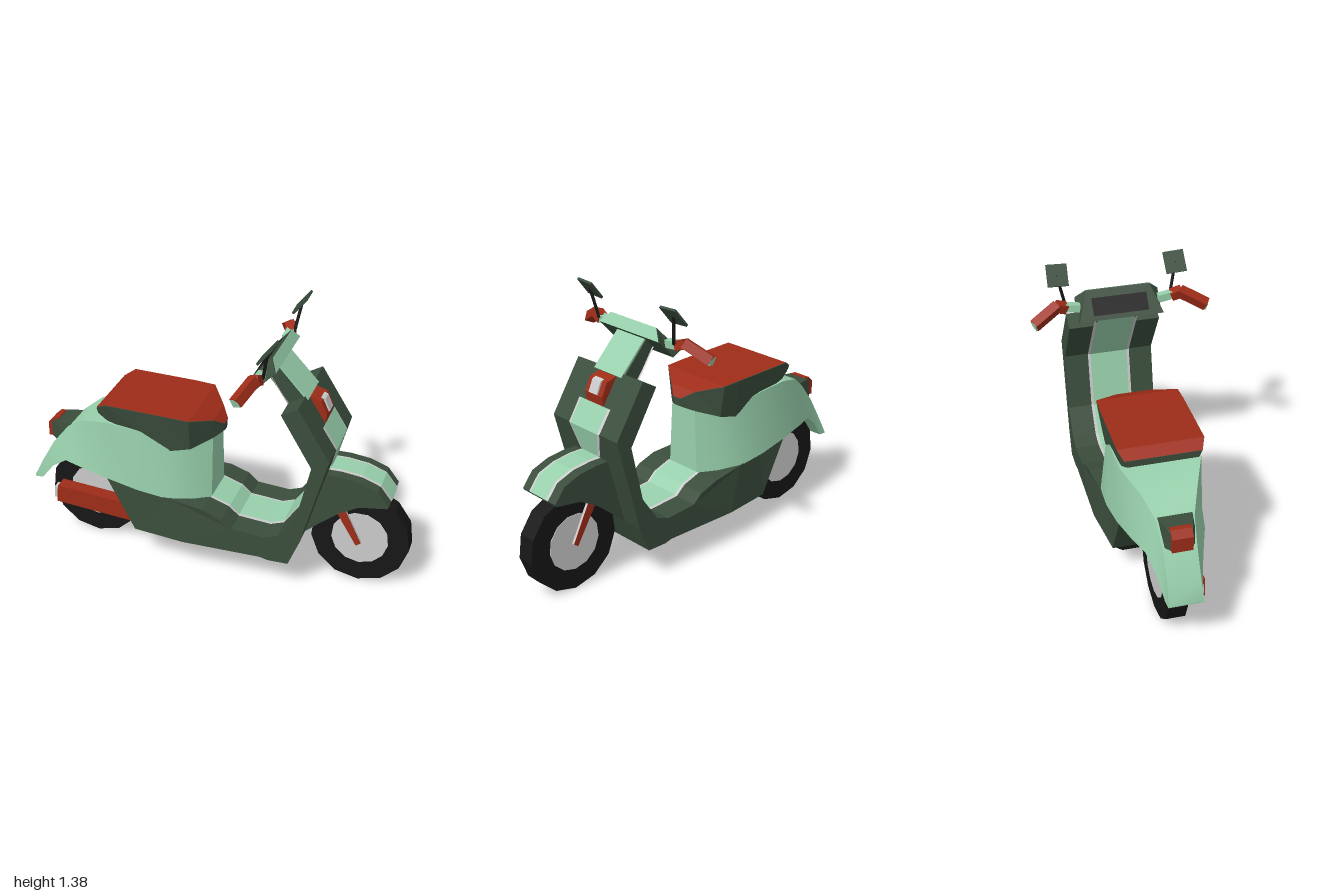
import * as THREE from 'three';
import { toCreasedNormals } from 'three/addons/utils/BufferGeometryUtils.js';

const mat = (color) => new THREE.MeshStandardMaterial({ color, flatShading: true, side: THREE.DoubleSide });

export function createModel() {
  const model = new THREE.Group();
  const dark = mat(0x3a4d3c), light = mat(0x98d0ac), red = mat(0x9e2c18);
  const black = mat(0x161616), grey = mat(0xcccccc);
  const smoothLight = light.clone();
  smoothLight.flatShading = false;

  const add = (name, geometry, material) => {
    const mesh = new THREE.Mesh(geometry, material);
    mesh.name = name;
    model.add(mesh);
    return mesh;
  };

  // side profile [x, y] extruded between z0 and z1
  const slab = (pts, z0, z1) => {
    const shape = new THREE.Shape(pts.map(([x, y]) => new THREE.Vector2(x, y)));
    return new THREE.ExtrudeGeometry(shape, { depth: z1 - z0, bevelEnabled: false }).translate(0, 0, z0);
  };

  const fromCorners = (tris) => {
    const g = new THREE.BufferGeometry();
    g.setAttribute('position', new THREE.Float32BufferAttribute(tris.flat(), 3));
    g.computeVertexNormals();
    return g;
  };

  // loft along x through stations [x, bottom y, bottom half width, top y, top half width]
  const loft = (stations) => {
    const rings = stations.map(([x, yb, wb, yt, wt]) => [[x, yb, -wb], [x, yt, -wt], [x, yt, wt], [x, yb, wb]]);
    const t = [];
    for (let i = 0; i < rings.length - 1; i++) {
      for (let j = 0; j < 4; j++) {
        const k = (j + 1) % 4, a = rings[i], b = rings[i + 1];
        t.push(a[j], a[k], b[k], a[j], b[k], b[j]);
      }
    }
    const s = rings[0], e = rings[rings.length - 1];
    t.push(s[0], s[2], s[1], s[0], s[3], s[2], e[0], e[1], e[2], e[0], e[2], e[3]);
    return fromCorners(t);
  };

  // strip laid on a path of [x, y, half width], lifted to the left of its direction
  const ribbon = (path, lift, extra = 0) => {
    const edge = path.map(([x, y, w], i) => {
      const p = path[Math.max(i - 1, 0)], n = path[Math.min(i + 1, path.length - 1)];
      const l = Math.hypot(n[0] - p[0], n[1] - p[1]);
      const px = x - lift * (n[1] - p[1]) / l, py = y + lift * (n[0] - p[0]) / l;
      return [[px, py, w + extra], [px, py, -w - extra]];
    });
    const t = [];
    for (let i = 0; i < edge.length - 1; i++) {
      const [a, b] = edge[i], [d, c] = edge[i + 1];
      t.push(a, d, c, a, c, b);
    }
    return fromCorners(t);
  };
  const stripe = (name, path) => {
    add(name + 'Trim', ribbon(path, 0.003, 0.014), grey);
    add(name, ribbon(path, 0.006), light);
  };

  // square or round bar between two points
  const bar = (name, a, b, radius, sides, material) => {
    const p = new THREE.Vector3(...a), q = new THREE.Vector3(...b);
    const m = add(name, new THREE.CylinderGeometry(radius, radius, p.distanceTo(q), sides).rotateY(Math.PI / 4), material);
    m.position.copy(p).lerp(q, 0.5);
    m.quaternion.setFromUnitVectors(new THREE.Vector3(0, 1, 0), q.sub(p).normalize());
    return m;
  };

  // wheels
  for (const [name, x] of [['rear', -0.67], ['front', 0.75]]) {
    add(name + 'Tire', new THREE.CylinderGeometry(0.25, 0.25, 0.095, 13).rotateX(Math.PI / 2), black).position.set(x, 0.25, -0.013);
    add(name + 'Hub', new THREE.CylinderGeometry(0.145, 0.145, 0.102, 13).rotateX(Math.PI / 2), grey).position.set(x, 0.25, -0.013);
  }

  // floor and leg shield in one profile, narrowing towards the rear
  const inner = [[-0.01, 0.38], [0.09, 0.345], [0.14, 0.3], [0.31, 0.285], [0.38, 0.31], [0.47, 0.44], [0.535, 0.725], [0.38, 0.985]];
  const body = slab([[-0.54, 0.455], [-0.36, 0.425], [-0.2, 0.4], ...inner, [0.46, 1.03], [0.62, 0.775],
    [0.49, 0.29], [0.435, 0.155], [0.33, 0.155], [0.29, 0.165], [-0.12, 0.165], [-0.39, 0.165]], -0.235, 0.235);
  const pos = body.attributes.position;
  for (let i = 0; i < pos.count; i++) {
    const x = pos.getX(i);
    if (x < -0.15) pos.setZ(i, pos.getZ(i) * (x < -0.3 ? 0.85 : 0.93));
  }
  body.computeVertexNormals();
  add('floorAndLegShield', body, dark);
  add('underTray', loft([[-0.39, 0.142, 0.15, 0.17, 0.19], [-0.15, 0.142, 0.19, 0.17, 0.21], [-0.11, 0.16, 0.2, 0.17, 0.21]]), black);
  stripe('floorPanel', [...inner, [0.285, 1.13]].map(([x, y]) => [x, y, 0.098]));

  // rear body shell running down into the tail
  const shell = loft([
    [-1, 0.3, 0.085, 0.31, 0.085], [-0.955, 0.305, 0.09, 0.4, 0.08], [-0.88, 0.4, 0.11, 0.53, 0.08],
    [-0.79, 0.467, 0.14, 0.64, 0.09], [-0.69, 0.465, 0.175, 0.715, 0.13], [-0.53, 0.45, 0.21, 0.765, 0.195],
    [-0.36, 0.42, 0.222, 0.75, 0.195], [-0.2, 0.395, 0.215, 0.72, 0.18], [-0.09, 0.385, 0.165, 0.71, 0.14],
    [-0.005, 0.37, 0.1, 0.72, 0.08]]);
  add('rearShell', toCreasedNormals(shell, 0.7), smoothLight);

  // tail light
  add('tailLightHousing', loft([[-0.905, 0.55, 0.045, 0.63, 0.045], [-0.87, 0.545, 0.07, 0.65, 0.06], [-0.77, 0.54, 0.11, 0.65, 0.085]]), dark);
  add('tailLight', slab([[-0.917, 0.55], [-0.917, 0.625], [-0.885, 0.655], [-0.86, 0.655], [-0.86, 0.55]], -0.05, 0.05), red);

  // seat with coloured top
  const seat = [
    [-0.577, 0.8, 0.17, 0.835, 0.185], [-0.525, 0.775, 0.185, 0.868, 0.208], [-0.19, 0.66, 0.185, 0.856, 0.208],
    [-0.09, 0.685, 0.18, 0.85, 0.205], [-0.005, 0.71, 0.08, 0.81, 0.085], [0.037, 0.73, 0.015, 0.77, 0.025]];
  add('seat', loft(seat), dark);
  add('seatTop', ribbon(seat.map(([x, , , y, w]) => [x, y, w]), 0.003), red);

  // front fender and its stripe, joined to the panel on the shield
  add('frontFender', slab([[0.49, 0.29], [0.585, 0.635], [0.65, 0.635], [0.75, 0.622], [0.84, 0.588], [0.897, 0.515],
    [0.89, 0.503], [0.75, 0.483], [0.65, 0.425], [0.57, 0.36]], -0.123, 0.123), dark);
  stripe('frontPanel', [[0.552, 0.882, 0.1], [0.62, 0.775, 0.098], [0.587, 0.645, 0.058]]);
  stripe('fenderStripe', [[0.585, 0.635, 0.058], [0.65, 0.635, 0.058], [0.75, 0.622, 0.058], [0.84, 0.588, 0.058], [0.897, 0.515, 0.058]]);

  // headlight
  add('headlightHousing', slab([[0.44, 1], [0.475, 1.012], [0.53, 0.995], [0.56, 0.93], [0.552, 0.878]], -0.062, 0.062), red);
  add('headlightLens', slab([[0.5, 0.96], [0.52, 1.002], [0.54, 0.995], [0.566, 0.935], [0.55, 0.925]], -0.03, 0.03), grey);

  // steering column and handlebar head
  add('column', slab([[0.275, 1.12], [0.32, 1.18], [0.475, 1.015], [0.385, 0.98]], -0.098, 0.098), light);
  for (const s of [-1, 1]) add('columnSide', slab([[0.275, 1.12], [0.32, 1.17], [0.465, 1.01], [0.385, 0.98]], s * 0.1 - 0.003, s * 0.1 + 0.003), dark);
  const head = slab([[0.21, 1.115], [0.31, 1.235], [0.342, 1.185], [0.255, 1.092]], -0.213, 0.213);
  const hp = head.attributes.position;
  for (let i = 0; i < hp.count; i++) if (hp.getY(i) > 1.2) hp.setZ(i, hp.getZ(i) * 0.76);
  head.computeVertexNormals();
  add('handlebarHead', head, dark);
  add('headTop', fromCorners([
    [0.313, 1.237, 0.162], [0.345, 1.186, 0.213], [0.345, 1.186, -0.213],
    [0.313, 1.237, 0.162], [0.345, 1.186, -0.213], [0.313, 1.237, -0.162]]), light);
  add('instrumentScreen', ribbon([[0.225, 1.133, 0.14], [0.283, 1.203, 0.14]], 0.004), black);

  for (const s of [-1, 1]) {
    // grips
    bar('handlebar', [0.275, 1.165, s * 0.2], [0.28, 1.175, s * 0.275], 0.027, 4, light);
    bar('gripInner', [0.28, 1.17, s * 0.268], [0.27, 1.19, s * 0.32], 0.033, 4, red);
    bar('gripOuter', [0.272, 1.19, s * 0.31], [0.222, 1.125, s * 0.437], 0.034, 4, red);
    bar('gripEnd', [0.224, 1.127, s * 0.43], [0.221, 1.124, s * 0.44], 0.029, 4, light);
    // mirrors
    bar('mirrorStem', [0.3, 1.18, s * 0.268], [0.328, 1.33, s * 0.3], 0.008, 5, black);
    const mirror = add('mirror', new THREE.BoxGeometry(0.012, 0.11, 0.103), dark);
    mirror.position.set(0.328, 1.328, s * 0.297);
    mirror.rotation.set(s * -0.05, 0, -0.68);
    // fork legs with bright leading edge
    add('forkLeg', slab([[0.625, 0.42], [0.665, 0.445], [0.763, 0.245], [0.74, 0.228]], s * 0.07 - 0.007, s * 0.07 + 0.007), red);
    add('forkEdge', ribbon([[0.665, 0.445, 0.007], [0.763, 0.245, 0.007]], 0.002), grey).position.z = s * 0.07;
  }

  // exhaust
  add('exhaust', slab([[-0.86, 0.2], [-0.85, 0.297], [-0.445, 0.262], [-0.445, 0.163]], 0.06, 0.133), red);
  add('exhaustTip', slab([[-0.88, 0.215], [-0.875, 0.28], [-0.85, 0.28], [-0.85, 0.215]], 0.075, 0.12), grey);
  add('exhaustPipe', slab([[-0.45, 0.165], [-0.45, 0.258], [-0.38, 0.2], [-0.38, 0.167]], 0.065, 0.128), grey);

  return model;
}
